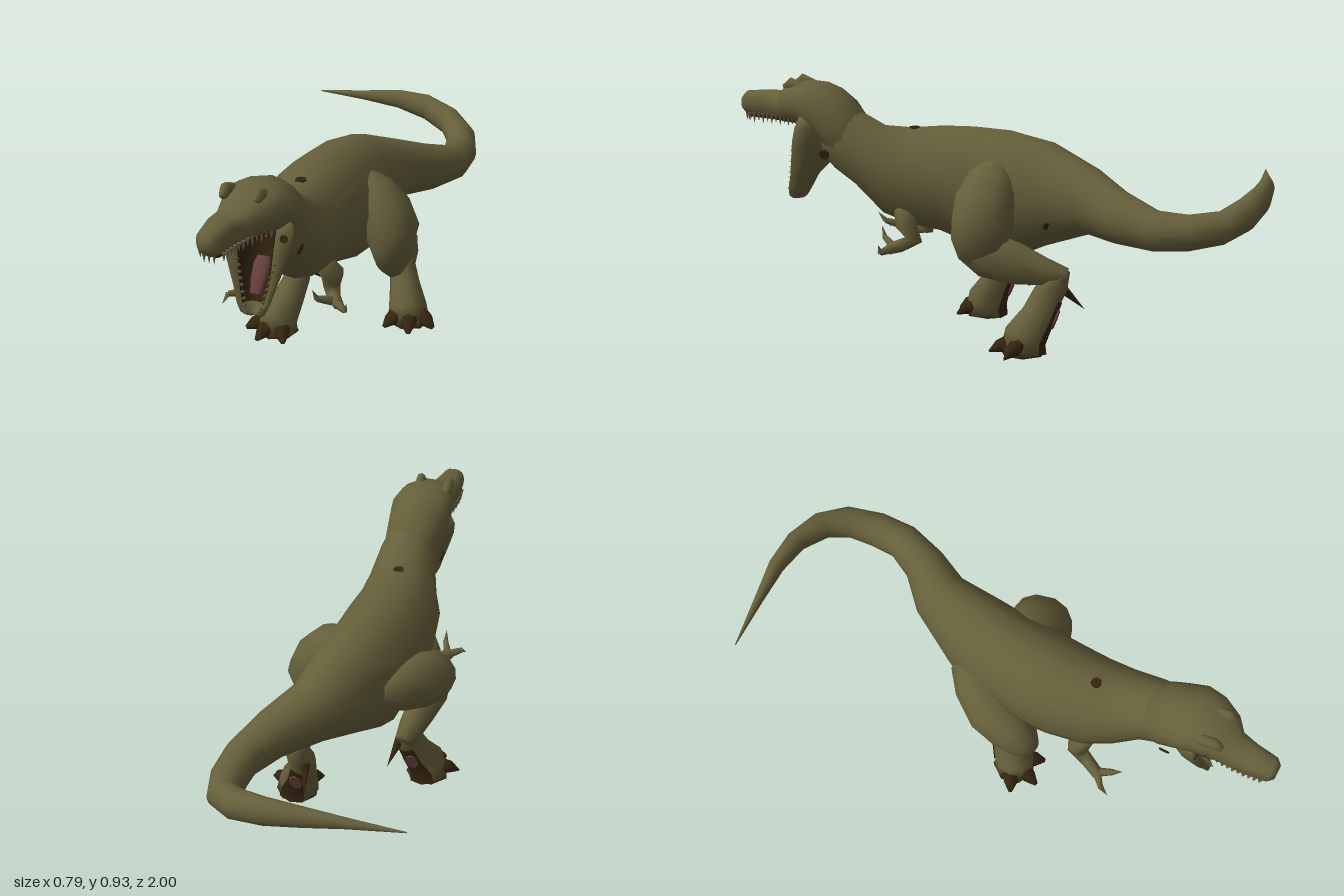
import * as THREE from 'three';

const paint = (name, color, side = THREE.FrontSide) => {
  const m = new THREE.MeshStandardMaterial({ color, side });
  m.name = name;
  return m;
};
const V = (x, y, z) => new THREE.Vector3(x, y, z);

export function createModel() {
  const hide = paint('olive hide', 0x655f3a);
  const horn = paint('dark claw', 0x35250f, THREE.DoubleSide);
  const mouth = paint('mouth lining', 0x32220d, THREE.DoubleSide);
  const flesh = paint('tongue pink', 0x653f3b);
  const ivory = paint('dull teeth', 0x665a3e);
  const model = new THREE.Group();

  const add = (name, geo, mat, parent = model) => {
    const m = new THREE.Mesh(geo, mat);
    m.name = name;
    parent.add(m);
    return m;
  };
  const group = (name) => {
    const g = new THREE.Group();
    g.name = name;
    model.add(g);
    return g;
  };

  // Surface through a row of rings; closed skins get capped ends
  const skin = (rings, closed = true) => {
    const n = rings[0].length, last = rings.length - 1, pts = rings.flat(), idx = [];
    for (let i = 0; i < last; i++)
      for (let j = 0; j < (closed ? n : n - 1); j++) {
        const k = (j + 1) % n, a = i * n + j, b = i * n + k;
        idx.push(a, b, b + n, a, b + n, a + n);
      }
    if (closed) {
      for (const i of [0, last]) {
        const c = V(0, 0, 0);
        rings[i].forEach((p) => c.add(p));
        pts.push(c.divideScalar(n));
      }
      const c0 = pts.length - 2;
      for (let j = 0; j < n; j++) {
        const k = (j + 1) % n;
        idx.push(c0, k, j, c0 + 1, last * n + j, last * n + k);
      }
    }
    const g = new THREE.BufferGeometry().setFromPoints(pts);
    g.setIndex(idx);
    g.computeVertexNormals();
    return g;
  };

  // Oval ring: b along ref, a across it; power below 1 makes it boxier
  const ring = (c, t, ref, a, b, n, power = 1) => {
    const u = ref.clone().addScaledVector(t, -ref.dot(t)).normalize();
    const s = u.clone().cross(t);
    const f = (v) => Math.sign(v) * Math.abs(v) ** power;
    return Array.from({ length: n }, (_, j) => {
      const q = (j / n) * Math.PI * 2;
      return c.clone().addScaledVector(s, a * f(Math.cos(q))).addScaledVector(u, b * f(Math.sin(q)));
    });
  };
  const tangent = (cs, i) => cs[Math.min(i + 1, cs.length - 1)].clone().sub(cs[Math.max(i - 1, 0)]);

  // Upright sections: [x, z, top, bottom, half width, power]
  const trunk = (rows, n = 16) => {
    const cs = rows.map(([x, z, t, b]) => V(x, (t + b) / 2, z));
    return skin(rows.map((r, i) =>
      ring(cs[i], tangent(cs, i).setY(0).normalize(), V(0, 1, 0), r[4], (r[2] - r[3]) / 2, n, r[5])));
  };
  // Limb sections: [x, y, z, half depth, half width]
  const limbRings = (rows, n) => {
    const cs = rows.map(([x, y, z]) => V(x, y, z));
    return rows.map((r, i) =>
      ring(cs[i], tangent(cs, i).normalize(), V(1, 0.02, 0.03), r[3], r[4] ?? r[3], n));
  };
  const limb = (rows, n = 10) => skin(limbRings(rows, n));
  const spike = (name, from, to, r, mat, parent) => {
    const d = to.clone().sub(from);
    const m = add(name, new THREE.ConeGeometry(r, d.length(), 5), mat, parent);
    m.position.copy(from).addScaledVector(d, 0.5);
    m.quaternion.setFromUnitVectors(V(0, 1, 0), d.normalize());
  };
  const patch = (name, pos, normal, r, mat, parent) => {
    const m = add(name, new THREE.CylinderGeometry(r, r, 0.006, 7), mat, parent);
    m.position.copy(pos);
    m.quaternion.setFromUnitVectors(V(0, 1, 0), normal.normalize());
    return m;
  };

  // Neck, body and the tail sweeping round
  add('bodyAndTail', trunk([
    [0.05, 0.66, 0.85, 0.64, 0.07], [0.055, 0.6, 0.85, 0.585, 0.1], [0.06, 0.52, 0.81, 0.53, 0.112],
    [0.05, 0.42, 0.757, 0.425, 0.135], [0.03, 0.32, 0.75, 0.385, 0.158], [0.02, 0.2, 0.76, 0.365, 0.17],
    [0.025, 0.08, 0.762, 0.325, 0.175], [0.04, -0.06, 0.756, 0.278, 0.168], [0.075, -0.2, 0.73, 0.345, 0.145],
    [0.14, -0.38, 0.65, 0.415, 0.105], [0.235, -0.5, 0.595, 0.408, 0.08], [0.293, -0.63, 0.547, 0.405, 0.069],
    [0.292, -0.74, 0.538, 0.412, 0.066], [0.262, -0.85, 0.55, 0.435, 0.059], [0.19, -0.92, 0.585, 0.468, 0.05],
    [0.075, -0.962, 0.612, 0.505, 0.037], [-0.05, -0.97, 0.613, 0.535, 0.029], [-0.2, -0.957, 0.595, 0.555, 0.016],
    [-0.39, -0.94, 0.576, 0.572, 0.002],
  ]), hide);

  // Skull and snout
  const head = group('head');
  add('skull', trunk([
    [0.005, 1, 0.84, 0.79, 0.025, 0.8], [0.005, 0.98, 0.86, 0.772, 0.043, 0.78], [0.005, 0.9, 0.866, 0.765, 0.054, 0.78],
    [0.014, 0.83, 0.864, 0.762, 0.064, 0.78], [0.03, 0.785, 0.9, 0.76, 0.09, 0.85], [0.043, 0.72, 0.912, 0.755, 0.114, 0.88],
    [0.05, 0.66, 0.91, 0.71, 0.124, 0.95], [0.052, 0.6, 0.892, 0.62, 0.117], [0.056, 0.54, 0.848, 0.58, 0.106],
    [0.06, 0.46, 0.74, 0.57, 0.07],
  ]), hide, head);
  add('palate', trunk([
    [0.005, 0.965, 0.79, 0.762, 0.032, 0.6], [0.008, 0.88, 0.79, 0.759, 0.042, 0.6],
    [0.03, 0.785, 0.79, 0.754, 0.06, 0.6], [0.048, 0.66, 0.79, 0.75, 0.075, 0.6],
  ], 12), mouth, head);
  for (const s of [-1, 1]) {
    const x = 0.025 + s * 0.057;
    add('browRidge', limb([
      [x, 0.865, 0.68, 0.015, 0.014], [x, 0.885, 0.74, 0.025, 0.02],
      [x, 0.9, 0.775, 0.026, 0.02], [x, 0.888, 0.8, 0.012, 0.012],
    ], 8), hide, head);
    patch('earSpot', V(0.052 + s * 0.104, 0.655, 0.62), V(s, -0.25, 0), 0.02, horn, head);
    patch('mouthCorner', V(0.05 + s * 0.096, 0.74, 0.732), V(0, 0, 1), 0.014, horn, head);
  }

  // Wide open lower jaw: [y, x, outer half width, inner half width, front z, back z, inner back z]
  const jawRows = [
    [0.79, 0.05, 0.11, 0.068, 0.715, 0.6, 0.66], [0.75, 0.05, 0.122, 0.067, 0.728, 0.6, 0.66],
    [0.7, 0.05, 0.115, 0.064, 0.742, 0.6, 0.655], [0.62, 0.052, 0.091, 0.058, 0.757, 0.625, 0.675],
    [0.56, 0.054, 0.071, 0.05, 0.77, 0.685, 0.718], [0.51, 0.055, 0.056, 0.038, 0.784, 0.712, 0.75],
    [0.48, 0.055, 0.042, 0.012, 0.787, 0.73, 0.775], [0.468, 0.055, 0.025, 0.006, 0.78, 0.745, 0.772],
  ];
  const arc = (y, x, w, zF, zB) => Array.from({ length: 9 }, (_, i) => {
    const q = Math.PI * (1 + i / 8);
    return V(x + w * Math.cos(q), y, zF + (zF - zB) * Math.sin(q));
  });
  add('lowerJaw', skin(jawRows.map(([y, x, w, v, f, b, c]) =>
    [...arc(y, x, w, f, b), ...arc(y, x, v, f, c).reverse()])), hide, head);
  add('mouthLining', skin(jawRows.slice(0, 6).map(([y, x, , v, f, , c]) =>
    arc(y, x, v - 0.002, f + 0.001, c + 0.004)), false), mouth, head);
  add('tongue', limb([
    [0.053, 0.64, 0.68, 0.012, 0.022], [0.053, 0.615, 0.695, 0.016, 0.031],
    [0.053, 0.57, 0.728, 0.015, 0.028], [0.053, 0.535, 0.752, 0.008, 0.02],
  ]), flesh, head);

  // Teeth along both jaws
  for (const s of [-1, 1]) {
    for (let i = 0; i < 12; i++) {
      const k = i / 11, x = 0.005 + 0.035 * (1 - k) ** 2 + s * (0.04 + 0.03 * (1 - k)), z = 0.745 + 0.215 * k;
      spike('upperTooth', V(x, 0.782, z), V(x, 0.743 + 0.008 * (i % 2), z), 0.008, ivory, head);
    }
    for (let i = 0; i < 8; i++) {
      const k = i / 7, x = 0.055 + s * (0.03 + 0.036 * k), y = 0.5 + 0.15 * k, z = 0.78 - 0.03 * k;
      spike('lowerTooth', V(x, y, z - 0.005), V(x, y + 0.01, z + 0.02), 0.007, ivory, head);
    }
  }
  for (let i = -1; i <= 1; i++)
    spike('frontTooth', V(0.005 + i * 0.017, 0.79, 0.98), V(0.005 + i * 0.017, 0.747, 0.982), 0.008, ivory, head);

  // Thighs and shanks in mid stride
  const leftLeg = group('leftLeg'), rightLeg = group('rightLeg');
  add('thigh', limb([
    [0.13, 0.65, -0.03, 0.04, 0.03], [0.18, 0.6, -0.02, 0.085, 0.07], [0.228, 0.53, -0.01, 0.11, 0.093],
    [0.255, 0.455, -0.01, 0.115, 0.1], [0.262, 0.38, 0.01, 0.098, 0.072], [0.258, 0.32, 0.02, 0.06, 0.045],
  ], 12), hide, leftLeg);
  add('shank', limb([
    [0.26, 0.37, 0.06, 0.05, 0.045], [0.258, 0.345, -0.02, 0.085, 0.06], [0.247, 0.315, -0.13, 0.078, 0.054],
    [0.235, 0.29, -0.23, 0.052, 0.045], [0.228, 0.275, -0.31, 0.032, 0.032],
  ]), hide, leftLeg);
  add('thigh', limb([
    [-0.05, 0.53, -0.18, 0.05, 0.05], [-0.105, 0.515, -0.11, 0.09, 0.075], [-0.155, 0.495, -0.01, 0.105, 0.095],
    [-0.178, 0.46, 0.08, 0.098, 0.083], [-0.185, 0.425, 0.14, 0.072, 0.066], [-0.185, 0.4, 0.175, 0.035, 0.035],
  ], 12), hide, rightLeg);
  add('shank', limb([
    [-0.182, 0.435, 0.15, 0.045, 0.05], [-0.168, 0.38, 0.09, 0.08, 0.065], [-0.146, 0.325, 0.03, 0.072, 0.056],
    [-0.126, 0.28, -0.02, 0.055, 0.048], [-0.113, 0.25, -0.07, 0.035, 0.035],
  ]), hide, rightLeg);

  // Lower legs and clawed feet, mirrored by s
  for (const [leg, s, x0, z0] of [[leftLeg, 1, 0.23, -0.21], [rightLeg, -1, -0.115, 0.045]]) {
    const P = (x, y, z) => V(x0 + s * x, y, z0 + z);
    const rows = [
      [0, 0.3, -0.09, 0.025, 0.028], [0, 0.25, -0.06, 0.05, 0.045], [-0.005, 0.2, -0.03, 0.055, 0.048],
      [0.015, 0.13, 0, 0.06, 0.057], [0.042, 0.06, 0.04, 0.076, 0.072], [0.048, 0.008, 0.045, 0.082, 0.078],
    ].map(([x, y, z, a, b]) => [x0 + s * x, y, z0 + z, a, b]);
    add('lowerLeg', limb(rows), hide, leg);
    // Dark scales up the heel
    add('heelScales', skin(limbRings(rows.slice(2).map(([x, y, z, a, b]) => [x, y, z, a + 0.004, b + 0.004]), 10)
      .map((r) => [r[9], r[0], r[1]]), false), horn, leg);
    patch('heelPad', P(0.014, 0.12, -0.065), V(0, -0.35, -1), 0.026, flesh, leg).scale.z = 1.5;
    // Dark toes running into claws
    for (const [x, z] of [[0.16, 0.085], [0.085, 0.16], [-0.018, 0.145]]) {
      const base = P(0.045, 0.04, 0.03), tip = P(x, 0.004, z);
      const row = (k, y, r) => [...base.clone().lerp(tip, k).setY(y), r, r + 0.004];
      add('toe', limb([row(0, 0.04, 0.034), row(0.5, 0.034, 0.032), row(0.75, 0.025, 0.023), row(1, 0.006, 0.004)], 8), horn, leg);
    }
    patch('sole', P(0.048, 0.003, 0.045), V(0, -1, 0), 0.082, horn, leg);
    spike('dewClaw', P(-0.03, 0.225, -0.075), P(-0.055, 0.145, -0.155), 0.02, horn, leg);
  }

  // Small arms with two hooked fingers each
  const arms = [
    ['leftArm', [[0.12, 0.46, 0.33, 0.035], [0.148, 0.41, 0.31, 0.042], [0.135, 0.35, 0.285, 0.033],
      [0.16, 0.33, 0.33, 0.024], [0.19, 0.322, 0.365, 0.02]],
    [[[0.185, 0.323, 0.36], [0.222, 0.315, 0.385], [0.23, 0.345, 0.39]],
      [[0.17, 0.325, 0.35], [0.125, 0.35, 0.4], [0.113, 0.39, 0.415]]]],
    ['rightArm', [[-0.07, 0.47, 0.34, 0.035], [-0.098, 0.41, 0.32, 0.042], [-0.09, 0.345, 0.31, 0.034],
      [-0.115, 0.335, 0.37, 0.025], [-0.145, 0.335, 0.43, 0.022]],
    [[[-0.14, 0.335, 0.42], [-0.185, 0.34, 0.46], [-0.195, 0.312, 0.495]],
      [[-0.14, 0.335, 0.42], [-0.115, 0.355, 0.48], [-0.11, 0.39, 0.51]]]],
  ];
  for (const [name, rows, fingers] of arms) {
    const arm = group(name);
    add('armLimb', limb(rows, 8), hide, arm);
    for (const [a, b, c] of fingers) {
      add('finger', limb([[...a, 0.018], [...b, 0.011]], 6), hide, arm);
      spike('fingerClaw', V(...b), V(...c), 0.011, hide, arm);
    }
  }

  // Dark markings on the back and tail root
  patch('backSpot', V(0.03, 0.75, 0.31), V(0, 1, 0), 0.02, horn);
  for (const s of [-1, 1])
    patch('tailSpot', V(0.082 + s * 0.112, 0.445, -0.235), V(s * 0.85, -0.5, -0.2), 0.02, horn);

  return model;
}
